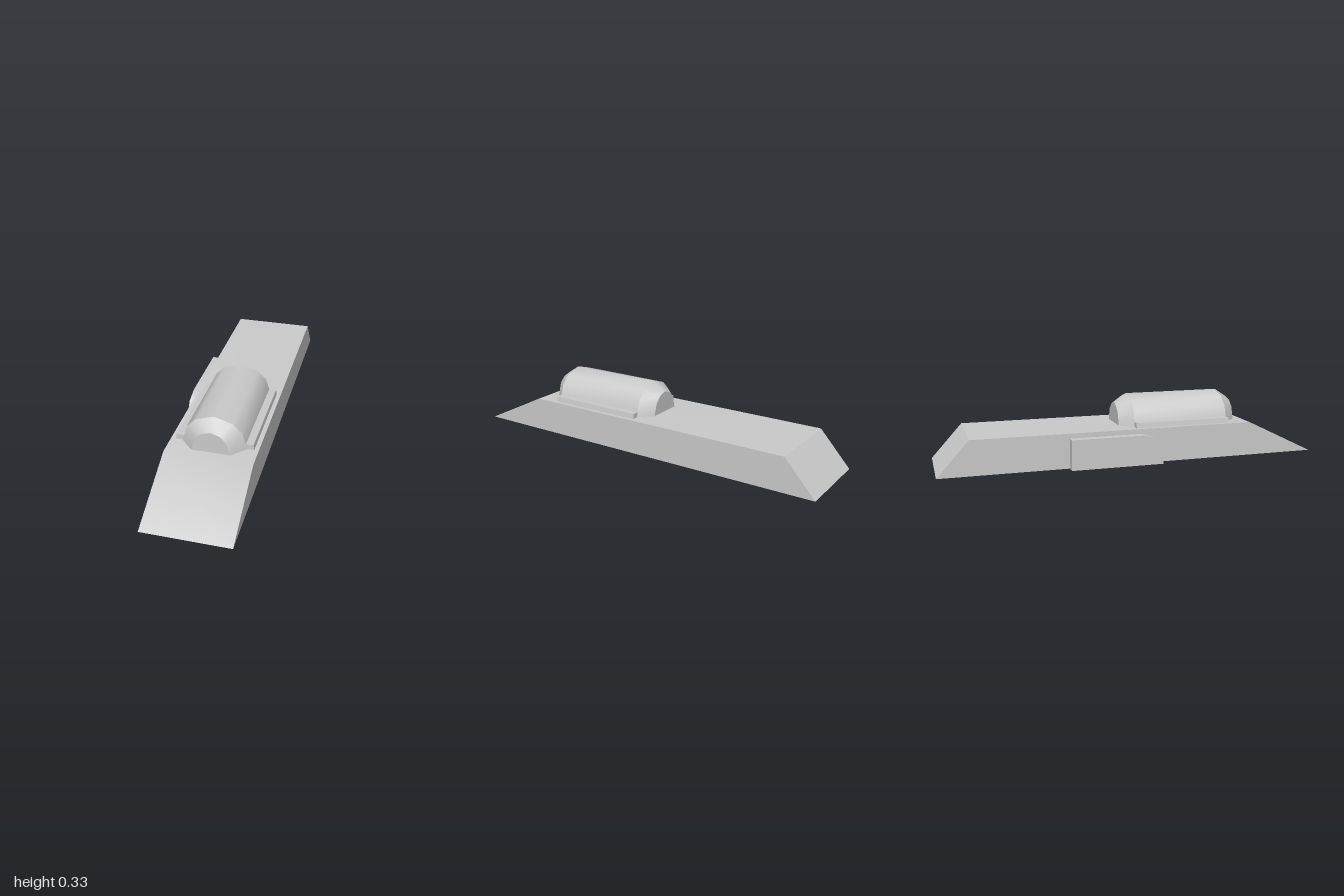
import * as THREE from 'three';

const smooth = new THREE.MeshStandardMaterial({ color: 0xcccccc, side: THREE.DoubleSide });
const flat = new THREE.MeshStandardMaterial({ color: 0xcccccc, side: THREE.DoubleSide, flatShading: true });

function add(group, name, geometry, material) {
  const mesh = new THREE.Mesh(geometry, material);
  mesh.name = name;
  group.add(mesh);
  return mesh;
}

function surface(points, index) {
  const geo = new THREE.BufferGeometry();
  geo.setAttribute('position', new THREE.Float32BufferAttribute(points.flat(), 3));
  geo.setIndex(index);
  geo.computeVertexNormals();
  return geo;
}

// Surface between two rows of points of equal length
function strip(a, b) {
  const n = a.length, index = [];
  for (let i = 0; i < n - 1; i++) index.push(i, n + i, i + 1, i + 1, n + i, n + i + 1);
  return surface([...a, ...b], index);
}

// Flat cap over a convex row of points
function cap(points, flip) {
  const index = [];
  for (let i = 1; i < points.length - 1; i++) index.push(0, flip ? i + 1 : i, flip ? i : i + 1);
  return surface(points, index);
}

// Side outline of [z, y] points placed at x
const row = (outline, x) => outline.map(([z, y]) => [x, y, z]);

// Half an arch profile mirrored about x = 0.02, running from -x to +x
function arch(half, z) {
  const left = half.map(([x, y]) => [0.021 - x, y, z]);
  const right = half.slice(0, -1).reverse().map(([x, y]) => [0.021 + x, y, z]);
  return [...left, ...right];
}

export function createModel() {
  const model = new THREE.Group();

  // Wedge-ended hull, open underneath; the front slope blends into the deck
  const x0 = -0.195, x1 = 0.235;
  const side = [[1, 0.002], [0.635, 0.18], [-0.84, 0.18], [-1, 0.002]];
  const hull = new THREE.Group();
  hull.name = 'hull';
  add(hull, 'hullDeck', strip(row(side.slice(0, 3), x0), row(side.slice(0, 3), x1)), smooth);
  add(hull, 'hullBackSlope', strip(row(side.slice(2), x0), row(side.slice(2), x1)), flat);
  add(hull, 'hullRightWall', cap(row(side, x0), false), flat);
  add(hull, 'hullLeftWall', cap(row(side, x1), true), flat);
  model.add(hull);

  // Arched canopy with tapered ends, its skirt reaching below the deck
  const canopy = new THREE.Group();
  canopy.name = 'canopy';
  const big = [[0.17, 0.08], [0.16, 0.18], [0.133, 0.263], [0.088, 0.307], [0, 0.334]];
  const small = [[0.105, 0.08], [0.095, 0.18], [0.075, 0.245], [0.044, 0.275], [0, 0.289]];
  const rings = [arch(small, 0.592), arch(big, 0.523), arch(big, 0.008), arch(small, -0.06)];
  ['canopyFrontTaper', 'canopyBarrel', 'canopyBackTaper'].forEach((name, i) =>
    add(canopy, name, strip(rings[i], rings[i + 1]), smooth));
  add(canopy, 'canopyFrontCap', cap(rings[0], true), flat);
  add(canopy, 'canopyBackCap', cap(rings[3], false), flat);
  model.add(canopy);

  // Rails along both sides of the canopy, outer faces leaning in slightly
  for (const s of [-1, 1]) {
    const profile = new THREE.Shape([[0.14, 0.12], [0.201, 0.12], [0.188, 0.206], [0.14, 0.206]]
      .map(([x, y]) => new THREE.Vector2(s * x, y)));
    const geo = new THREE.ExtrudeGeometry(profile, { depth: 0.516, bevelEnabled: false });
    const rail = add(model, s < 0 ? 'rightRail' : 'leftRail', geo, flat);
    rail.position.set(0.021, 0, 0.007);
  }

  // Side pod: soft band around the rounded nose, flat faces elsewhere
  const pod = new THREE.Group();
  pod.name = 'sidePod';
  const outline = [[-0.35, 0], [0.13, 0], [0.133, 0.09], [0.105, 0.13], [0.03, 0.155], [-0.35, 0.155]];
  const outer = row(outline, -0.237), inner = row(outline, -0.185);
  add(pod, 'podBand', strip(outer, inner), smooth);
  add(pod, 'podBack', cap([outer[0], outer[5], inner[5], inner[0]], false), flat);
  add(pod, 'podOuterFace', cap(outer, true), flat);
  add(pod, 'podInnerFace', cap(inner, false), flat);
  model.add(pod);

  // Cross brace inside the hull behind the pod
  const brace = add(model, 'innerBrace', new THREE.PlaneGeometry(0.34, 0.08), flat);
  brace.position.set(-0.02, 0.05, -0.34);

  return model;
}
